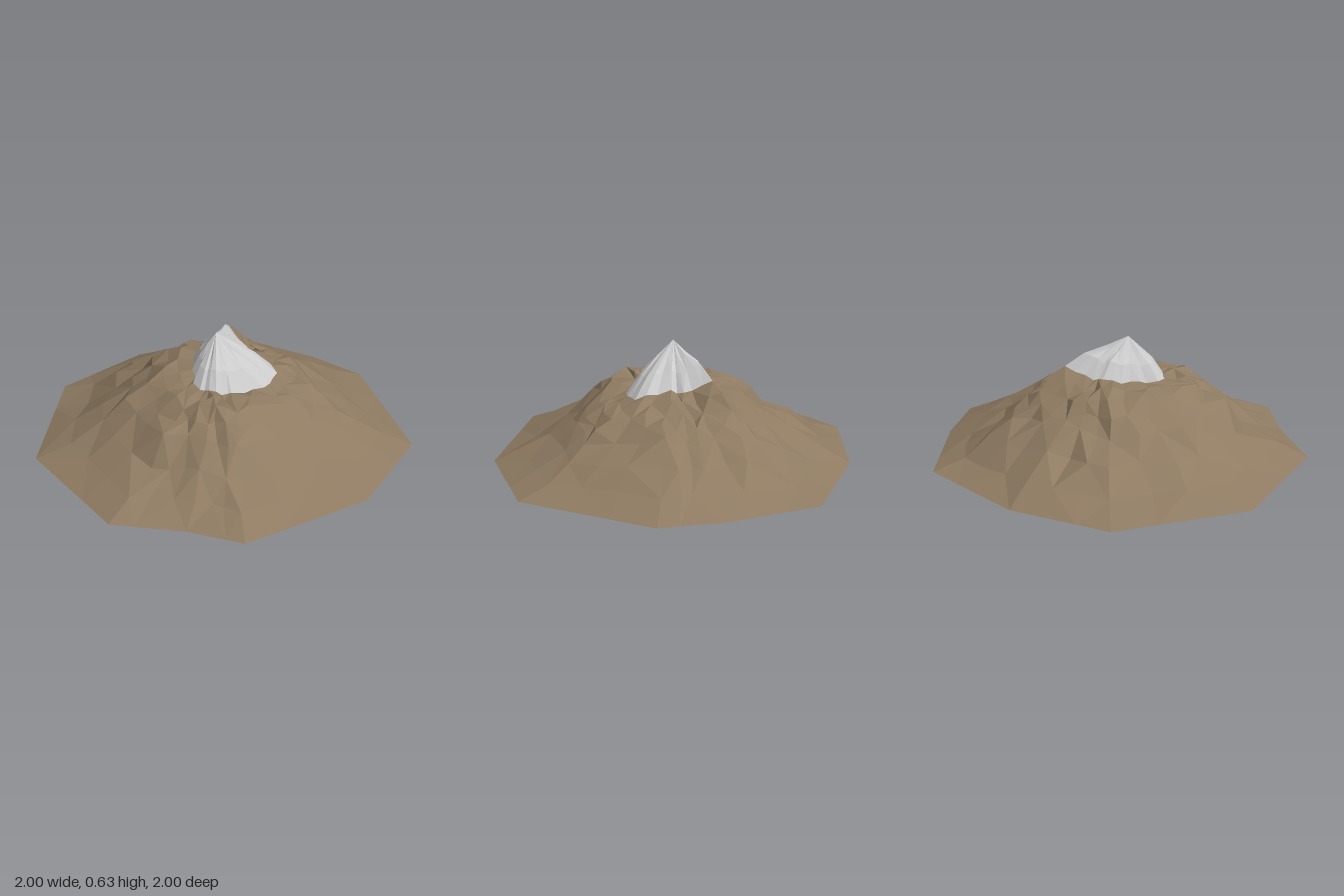
import * as THREE from 'three';

// Each spoke: rim x, rim z, snow line radius, snow line height, then slope heights at four even steps outwards
const SPOKES = [
  [1.0, 0.02, 0.27, 0.38, 0.31, 0.205, 0.12, 0.036],
  [0.79, 0.56, 0.26, 0.36, 0.32, 0.23, 0.14, 0.06],
  [0.23, 1.0, 0.25, 0.38, 0.38, 0.26, 0.14, 0.05],
  [-0.07, 0.95, 0.27, 0.39, 0.39, 0.28, 0.16, 0.07],
  [-0.46, 0.95, 0.29, 0.38, 0.37, 0.28, 0.13, 0.06],
  [-0.97, 0.45, 0.21, 0.41, 0.39, 0.27, 0.17, 0.07],
  [-1.0, -0.28, 0.2, 0.44, 0.4, 0.26, 0.16, 0.06],
  [-0.65, -0.7, 0.2, 0.43, 0.36, 0.27, 0.17, 0.08],
  [-0.12, -1.0, 0.26, 0.48, 0.37, 0.25, 0.14, 0.036],
  [0.38, -0.83, 0.18, 0.42, 0.33, 0.24, 0.15, 0.07],
  [0.67, -0.67, 0.15, 0.42, 0.35, 0.26, 0.16, 0.08],
];
const SPLIT = 3; // columns per rim side
const COLUMNS = SPOKES.length * SPLIT;
const APEX = new THREE.Vector3(-0.06, 0.63, 0.07);

let seed = 11;
function jitter(amount) {
  seed = (seed * 16807) % 2147483647;
  return (seed / 2147483647 - 0.5) * 2 * amount;
}

// Point on a spoke: s = 0 at the snow line, 1 at the rim
function spokePoint(spoke, s) {
  const [rimX, rimZ, snowRadius] = spoke;
  const heights = [...spoke.slice(3), 0];
  const rim = Math.hypot(rimX, rimZ);
  const r = THREE.MathUtils.lerp(snowRadius, rim, s) / rim;
  const k = Math.min(Math.floor(s * 5), 4);
  const y = THREE.MathUtils.lerp(heights[k], heights[k + 1], s * 5 - k);
  return new THREE.Vector3(rimX * r, y, rimZ * r);
}

// Closed ring of points round the mountain, roughened by the given amounts
function makeRing(s, side, up) {
  return Array.from({ length: COLUMNS }, (_, i) => {
    const n = Math.floor(i / SPLIT);
    const a = spokePoint(SPOKES[n], s);
    const b = spokePoint(SPOKES[(n + 1) % SPOKES.length], s);
    const p = a.lerp(b, (i % SPLIT) / SPLIT);
    p.x += jitter(side);
    p.z += jitter(side);
    p.y = Math.max(0, p.y + jitter(up));
    return p;
  });
}

// Faceted skin through successive rings, inner to outer
function skin(rings, name, color) {
  const points = [];
  for (let j = 0; j < rings.length - 1; j++) {
    for (let i = 0; i < COLUMNS; i++) {
      const k = (i + 1) % COLUMNS;
      const a = rings[j][i], b = rings[j][k], c = rings[j + 1][i], d = rings[j + 1][k];
      // Alternate the diagonals for an irregular rock face
      const faces = (i + j) % 2 ? [a, b, c, b, d, c] : [a, d, c, a, b, d];
      for (let f = 0; f < 6; f += 3) {
        const [p, q, r] = faces.slice(f, f + 3);
        if (p !== q && q !== r && p !== r) points.push(p, q, r);
      }
    }
  }
  const geometry = new THREE.BufferGeometry().setFromPoints(points);
  geometry.computeVertexNormals();
  const mesh = new THREE.Mesh(geometry, new THREE.MeshStandardMaterial({
    color, flatShading: true, side: THREE.DoubleSide,
  }));
  mesh.name = name;
  return mesh;
}

export function createModel() {
  const mountain = new THREE.Group();
  mountain.name = 'mountain';

  // Rocky slopes, open underneath
  const snowLine = makeRing(0, 0.012, 0.012);
  const slopes = [
    snowLine,
    makeRing(0.09, 0.018, 0.02),
    makeRing(0.2, 0.022, 0.022),
    makeRing(0.3, 0.025, 0.02),
    makeRing(0.4, 0.025, 0.02),
    makeRing(0.58, 0.025, 0.018),
    makeRing(0.78, 0.02, 0.01),
    makeRing(1, 0, 0),
  ];
  mountain.add(skin(slopes, 'rockSlopes', 0x8f7b62));

  // Snow cap, bulging a little between the apex and the snow line
  const capRing = (t, bulge) => snowLine.map((p) => {
    const q = APEX.clone().lerp(p, t);
    q.y += bulge + jitter(0.008);
    return q;
  });
  const apexRing = snowLine.map(() => APEX);
  const cap = [apexRing, capRing(0.35, 0.008), capRing(0.7, 0.022), snowLine];
  mountain.add(skin(cap, 'snowCap', 0xcccccc));

  return mountain;
}
